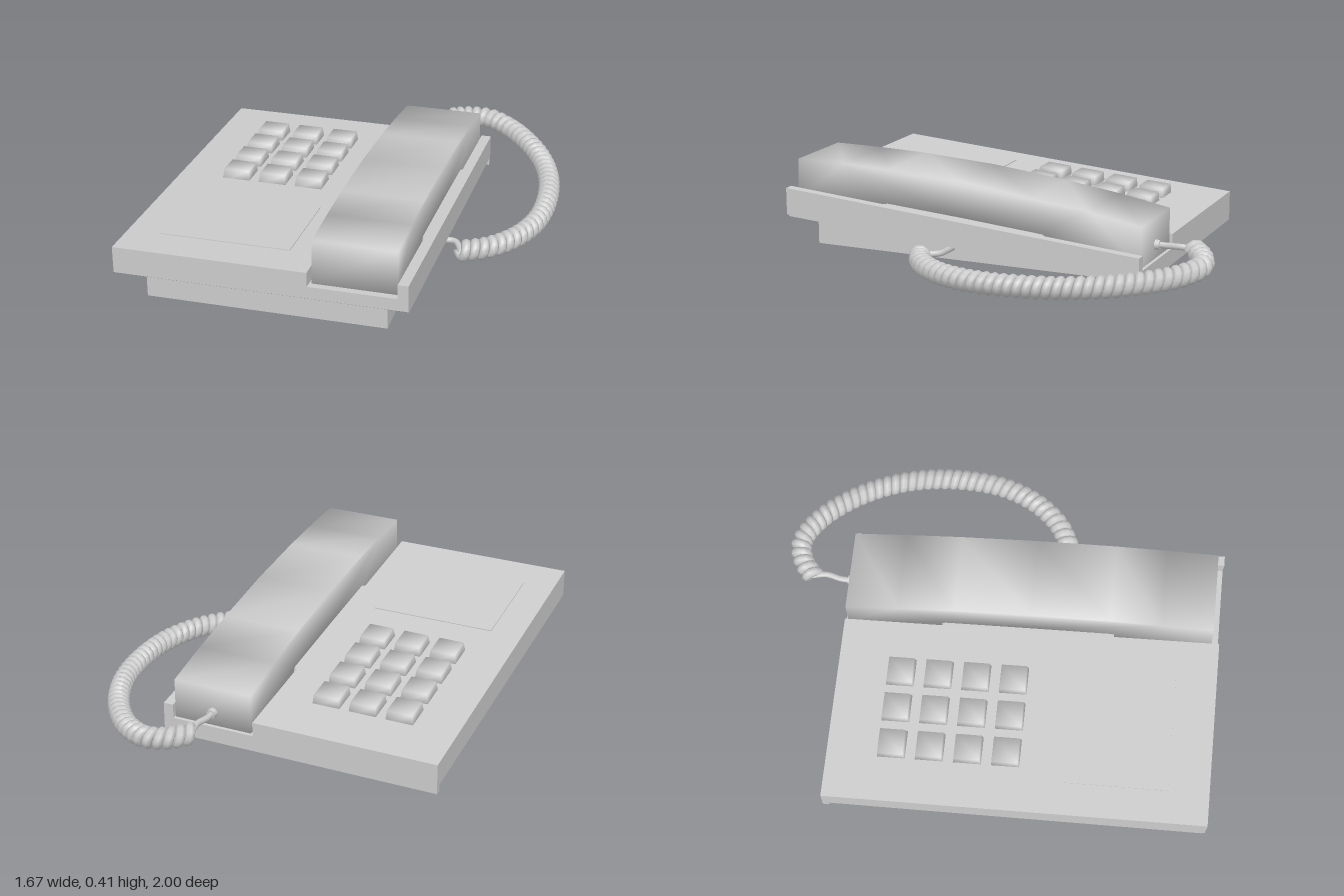
import * as THREE from 'three';
import { toCreasedNormals } from 'three/addons/utils/BufferGeometryUtils.js';

const SLOPE = 0.08;
const topY = (z) => 0.275 - SLOPE * (1 - z); // height of the sloping deck
const SHARP = 0.6, SOFT = 1.75;

export function createModel() {
  const group = new THREE.Group();
  group.name = 'deskTelephone';
  const plastic = new THREE.MeshStandardMaterial({ color: 0xcccccc });
  plastic.name = 'light grey plastic';

  const add = (name, geometry, parent = group) => {
    const mesh = new THREE.Mesh(geometry, plastic);
    mesh.name = name;
    parent.add(mesh);
    return mesh;
  };

  // Side profile of [z, y] points, swept from x0 to x1
  const slab = (profile, x0, x1, crease = SHARP) => {
    const shape = new THREE.Shape(profile.map(([z, y]) => new THREE.Vector2(z, y)));
    const g = new THREE.ExtrudeGeometry(shape, { depth: x1 - x0, bevelEnabled: false });
    g.rotateY(-Math.PI / 2).translate(x1, 0, 0);
    return toCreasedNormals(g, crease);
  };

  // Body: sloping deck, handset cradle with two cups, outer rim
  const under = [[-0.7, 0], [-0.67, 0], [-0.67, 0.03], [0.985, 0.145], [1, 0.155]];
  const deck = [...under, [1, topY(1)], [-0.7, topY(-0.7)]];
  const cup = (z) => [z, topY(z) - 0.065];
  const cradle = [...under, cup(1), cup(0.53), [0.53, topY(0.53)],
    [-0.25, topY(-0.25)], cup(-0.25), cup(-0.7)];
  add('deck', slab(deck, -0.835, 0.005));
  add('cradle', slab(cradle, 0.005, 0.385));
  add('cradleRim', slab(deck, 0.385, 0.43));

  // Foot block under the body
  add('base', slab([[-0.69, 0], [0.9, 0], [0.9, 0.145], [-0.69, 0.035]], -0.73, 0.32));

  // Handset: arched back, earpiece and mouthpiece resting in the cups
  const rest = (z) => [z, topY(z) - 0.062];
  const handset = [
    rest(-0.69), rest(-0.26), [-0.24, topY(-0.24) + 0.004], [0.15, topY(0.15) + 0.006],
    [0.52, topY(0.52) + 0.004], rest(0.54), rest(0.97),
    [0.96, 0.405], [0.73, 0.404], [0.5, 0.398], [0.15, 0.376], [-0.2, 0.338], [-0.45, 0.302], [-0.69, 0.26],
  ];
  add('handset', slab(handset, 0.017, 0.378, SOFT));

  // Keypad: four rows of three pillow-shaped keys
  const key = new THREE.BoxGeometry(0.13, 0.06, 0.13);
  const p = key.attributes.position;
  for (let i = 0; i < p.count; i++) {
    if (p.getY(i) > 0) p.setXYZ(i, p.getX(i) * 0.88, p.getY(i), p.getZ(i) * 0.88);
  }
  const keyGeometry = toCreasedNormals(key, SOFT);
  const keypad = new THREE.Group();
  keypad.name = 'keypad';
  group.add(keypad);
  for (let row = 0; row < 4; row++) {
    for (let col = 0; col < 3; col++) {
      const z = -0.41 + row * 0.17;
      const mesh = add('key', keyGeometry, keypad);
      mesh.position.set(-0.573 + col * 0.169, topY(z) + 0.012, z);
      mesh.rotation.x = -SLOPE;
    }
  }

  // Flat card panel on the deck
  const panel = add('cardPanel', new THREE.BoxGeometry(0.57, 0.006, 0.465));
  panel.position.set(-0.405, topY(0.587) + 0.001, 0.587);
  panel.rotation.x = -Math.atan(SLOPE);

  // Coiled cord: a helix wound round a curved centre line
  const path = new THREE.CatmullRomCurve3([
    [0.2, 0.135, -0.87], [0.27, 0.125, -0.925], [0.37, 0.115, -0.95], [0.5, 0.1, -0.885],
    [0.65, 0.085, -0.71], [0.745, 0.075, -0.5], [0.782, 0.068, -0.28], [0.768, 0.062, -0.05],
    [0.7, 0.06, 0.12], [0.6, 0.06, 0.235], [0.49, 0.06, 0.295],
  ].map((v) => new THREE.Vector3(...v)));
  const TURNS = 42, STEPS = TURNS * 10;
  const up = new THREE.Vector3(0, 1, 0);
  const coilPoints = [];
  for (let i = 0; i <= STEPS; i++) {
    const t = i / STEPS, a = t * TURNS * Math.PI * 2;
    const side = path.getTangentAt(t).cross(up).normalize();
    coilPoints.push(path.getPointAt(t)
      .addScaledVector(side, Math.cos(a) * 0.029)
      .addScaledVector(up, Math.sin(a) * 0.029));
  }
  const coil = new THREE.CatmullRomCurve3(coilPoints);
  coil.arcLengthDivisions = STEPS * 4;
  add('coiledCord', new THREE.TubeGeometry(coil, STEPS, 0.022, 8));

  // Straight cord ends: into the handset and into the base
  const wire = (name, points) => {
    const curve = new THREE.CatmullRomCurve3(points.map((v) => new THREE.Vector3(...v)));
    add(name, new THREE.TubeGeometry(curve, 16, 0.014, 8));
  };
  wire('handsetCordEnd', [[0.197, 0.14, -0.66], [0.197, 0.14, -0.74], [0.21, 0.145, -0.81], [0.2, 0.14, -0.88]]);
  wire('baseCordEnd', [[0.3, 0.055, 0.22], [0.4, 0.06, 0.215], [0.455, 0.063, 0.22], [0.5, 0.06, 0.3]]);

  // Cord plug at the end of the handset
  const plug = add('cordPlug', new THREE.CylinderGeometry(0.02, 0.025, 0.03, 10));
  plug.rotation.x = -Math.PI / 2;
  plug.position.set(0.197, 0.14, -0.695);

  return group;
}
